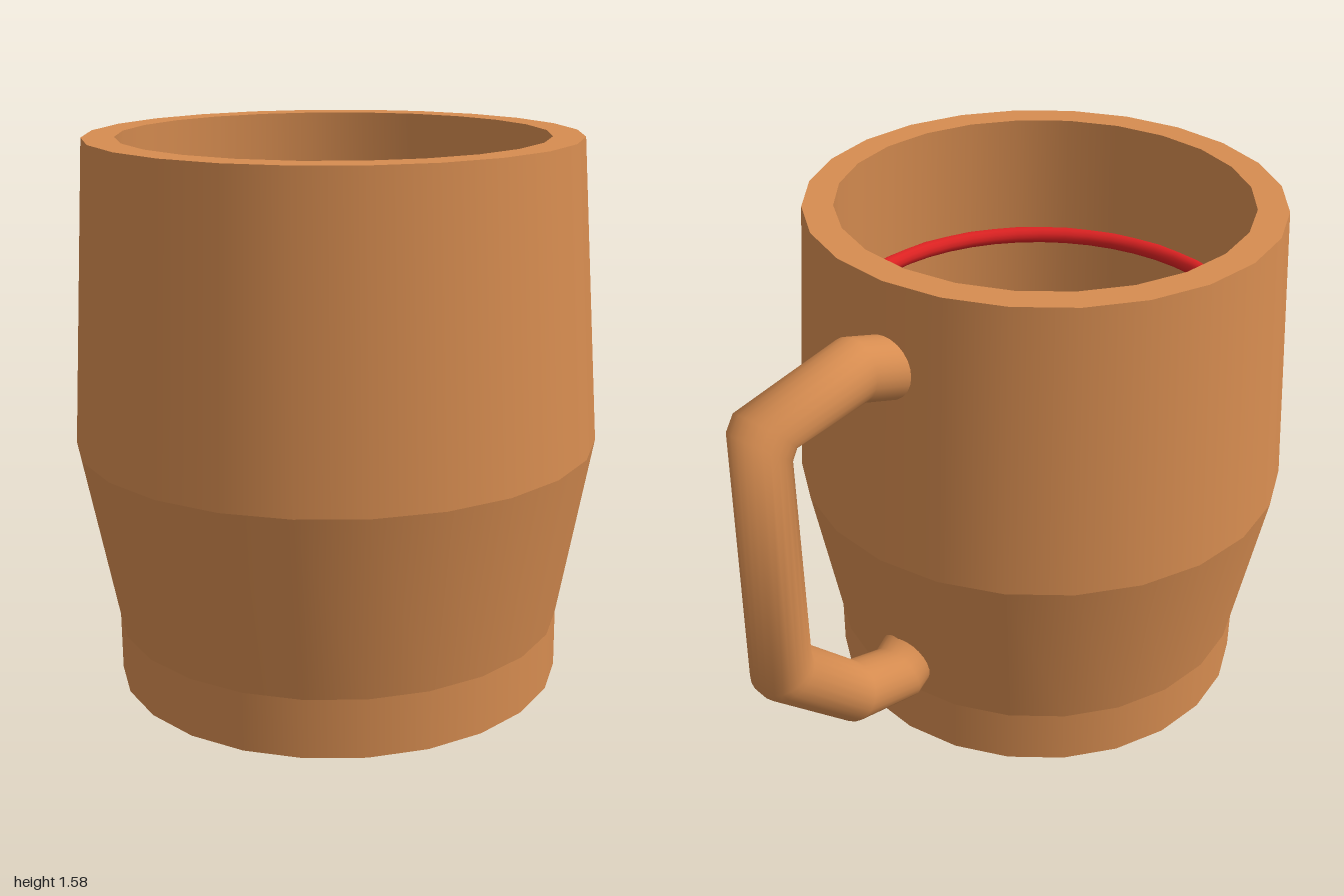
import * as THREE from 'three';
import { mergeGeometries } from 'three/addons/utils/BufferGeometryUtils.js';

const CENTER_X = -0.25;
const SIDES = 24;

// Revolve each band of the profile on its own, so edges between bands stay sharp.
function bandedLathe(profile) {
  const bands = [];
  for (let i = 0; i < profile.length - 1; i++) {
    const pair = [profile[i], profile[i + 1]].map(([r, y]) => new THREE.Vector2(r, y));
    bands.push(new THREE.LatheGeometry(pair, SIDES));
  }
  return mergeGeometries(bands);
}

// Path that steps through given points, each with its own ring direction in degrees.
class SteppedPath extends THREE.Curve {
  constructor(stations) {
    super();
    this.stations = stations;
  }
  station(u) {
    return this.stations[Math.round(u * (this.stations.length - 1))];
  }
  getPointAt(u, target = new THREE.Vector3()) {
    const [x, y] = this.station(u);
    return target.set(x, y, 0);
  }
  getTangentAt(u, target = new THREE.Vector3()) {
    const a = THREE.MathUtils.degToRad(this.station(u)[2]);
    return target.set(Math.cos(a), Math.sin(a), 0);
  }
}

export function createModel() {
  const group = new THREE.Group();
  group.name = 'mug';
  const clay = new THREE.MeshStandardMaterial({ color: 0xd68c50 });
  const red = new THREE.MeshStandardMaterial({ color: 0xdd2222 });

  // Hollow body: underside, outer wall, rim, inner wall, inside floor
  const body = new THREE.Mesh(bandedLathe([
    [0, 0], [0.65, 0], [0.65, 0.17], [0.75, 0.71], [0.695, 1.575],
    [0.605, 1.575], [0.66, 0.71], [0.57, 0.17], [0.565, 0.12], [0, 0.12],
  ]), clay);
  body.name = 'body';
  body.position.x = CENTER_X;
  group.add(body);

  // Thin ring around the inside wall
  const ring = new THREE.Mesh(new THREE.TorusGeometry(0.62, 0.026, 12, 48), red);
  ring.name = 'innerRing';
  ring.rotation.x = Math.PI / 2;
  ring.position.set(CENTER_X, 1.17, 0);
  group.add(ring);

  // Angular handle, both ends sunk into the wall: x, y, ring direction
  const stations = [
    [0.4, 1.305, 20], [0.575, 1.37, 7],
    [0.89, 1.338, -43], [0.913, 1.302, -50],
    [0.913, 0.59, -114], [0.9, 0.57, -124],
    [0.652, 0.325, -152], [0.455, 0.265, -190], [0.385, 0.31, -214],
  ];
  const handle = new THREE.Mesh(
    new THREE.TubeGeometry(new SteppedPath(stations), stations.length - 1, 0.09, 24), clay);
  handle.name = 'handle';
  handle.position.z = -0.007;
  group.add(handle);

  return group;
}
